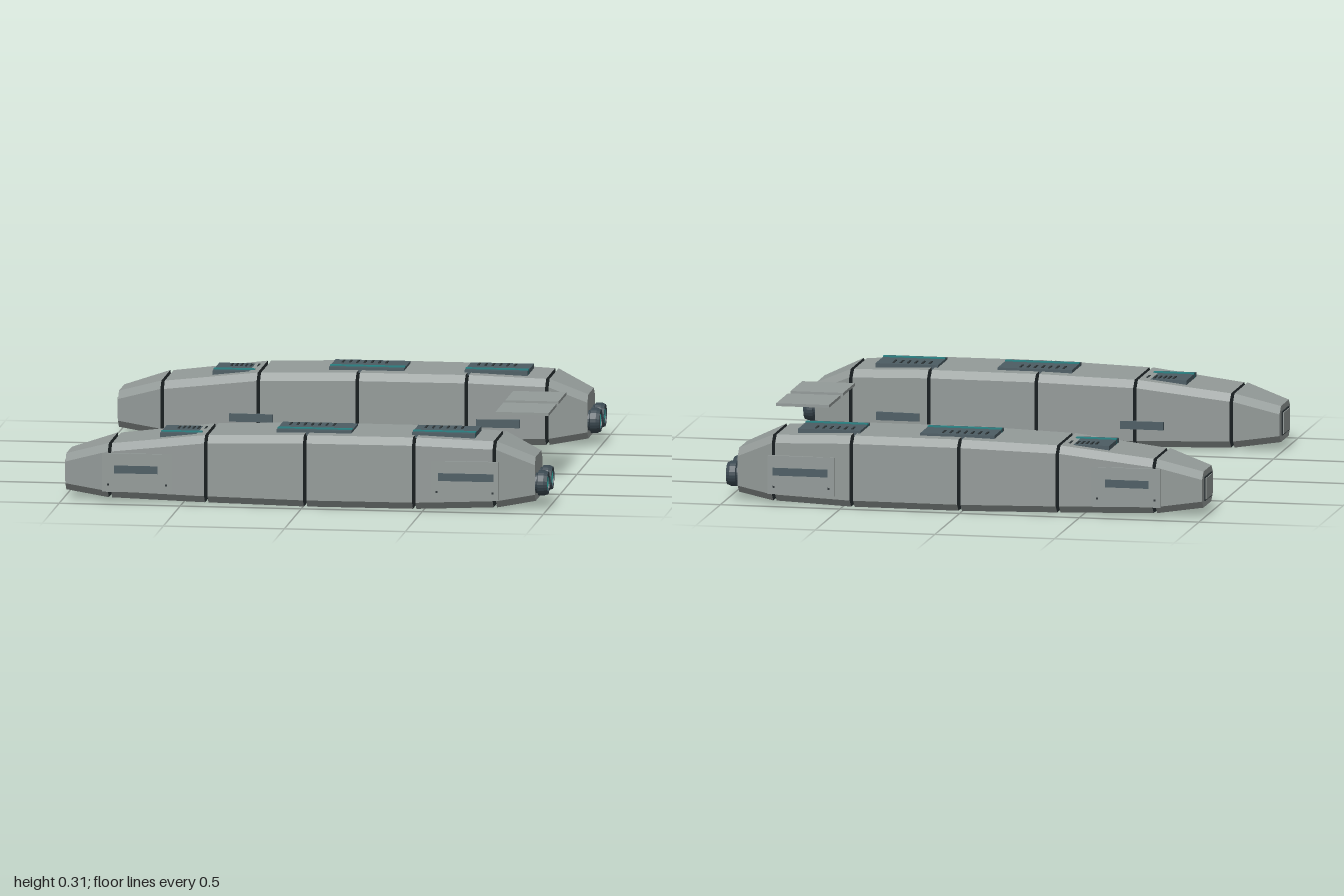
import * as THREE from 'three';

const mat = (name, color, side = THREE.FrontSide) => {
  const m = new THREE.MeshStandardMaterial({ color, side });
  m.name = name;
  return m;
};

export function createModel() {
  const hullGrey = mat('hull grey', 0x939a98);
  const slate = mat('slate panel', 0x4c5c63);
  const dark = mat('dark trim', 0x2b3336);
  const teal = mat('teal strip', 0x267e80);
  const glow = mat('engine teal', 0x3accc4);

  const model = new THREE.Group();
  model.name = 'twinHulls';

  const add = (parent, name, geo, material) => {
    const m = new THREE.Mesh(geo, material);
    m.name = name;
    parent.add(m);
    return m;
  };
  // box given by its min and max along each axis
  const box = (parent, name, material, [x0, x1], [y0, y1], [z0, z1]) => {
    const m = add(parent, name, new THREE.BoxGeometry(x1 - x0, y1 - y0, Math.abs(z1 - z0)), material);
    m.position.set((x0 + x1) / 2, (y0 + y1) / 2, (z0 + z1) / 2);
    return m;
  };

  // hull stations: x, bottom, top, half width
  const stations = [
    [-0.99, 0.035, 0.185, 0.108], [-0.8, 0.015, 0.24, 0.162], [-0.4, 0.006, 0.285, 0.179],
    [0.01, 0, 0.296, 0.19], [0.46, 0, 0.296, 0.185], [0.79, 0.01, 0.284, 0.163], [0.95, 0.032, 0.215, 0.112],
  ];
  const ring = (x, [, y0, y1, w]) => {
    const c = 0.03;
    return [[w - c, y1], [w, y1 - c], [w, y0 + c], [w - c, y0],
      [c - w, y0], [-w, y0 + c], [-w, y1 - c], [c - w, y1]].map(([z, y]) => [x, y, z]);
  };
  // chamfered hull section: skin in group 0, front cap in 1, rear cap in 2
  const sectionGeometry = (i) => {
    const gap = 0.007, last = stations.length - 2;
    const a = ring(stations[i][0] + (i > 0 ? gap : 0), stations[i]);
    const b = ring(stations[i + 1][0] - (i < last ? gap : 0), stations[i + 1]);
    const p = [];
    for (let k = 0; k < 8; k++) {
      const n = (k + 1) % 8;
      p.push(...a[k], ...a[n], ...b[k], ...a[n], ...b[n], ...b[k]);
    }
    for (let k = 1; k < 7; k++) p.push(...a[0], ...a[k + 1], ...a[k]);
    for (let k = 1; k < 7; k++) p.push(...b[0], ...b[k], ...b[k + 1]);
    const g = new THREE.BufferGeometry();
    g.setAttribute('position', new THREE.Float32BufferAttribute(p, 3));
    g.addGroup(0, 48, 0);
    g.addGroup(48, 18, 1);
    g.addGroup(66, 18, 2);
    g.computeVertexNormals();
    return g;
  };

  // s is the sign of z on the outer side
  const makeHull = (name, s) => {
    const hull = new THREE.Group();
    hull.name = name;
    hull.position.z = 0.78 * s;
    model.add(hull);

    const count = stations.length - 1;
    for (let i = 0; i < count; i++) {
      add(hull, 'hullSection', sectionGeometry(i),
        [hullGrey, i === 0 ? hullGrey : dark, i === count - 1 ? hullGrey : dark]);
    }
    // core joining the sections
    box(hull, 'core', dark, [-0.45, 0.8], [0.085, 0.118], [-0.02, 0.02]);

    // nose hatch with a dark rim
    box(hull, 'noseRim', dark, [-0.994, -0.98], [0.06, 0.16], [-0.068, 0.068]);
    box(hull, 'noseHatch', hullGrey, [-0.998, -0.98], [0.066, 0.154], [-0.061, 0.061]);

    // roof panels, each with a teal strip and louvres
    const roof = [
      [-0.6, -0.45, 0.281, -0.43, [-0.54, -0.52, -0.5, -0.48, -0.46, -0.43]],
      [-0.12, 0.19, 0.306, 0.19, [-0.08, -0.05, -0.02, 0.01, 0.04, 0.07, 0.1]],
      [0.44, 0.7, 0.306, 0.7, [0.48, 0.51, 0.54, 0.57, 0.6, 0.63]],
    ];
    for (const [x0, x1, top, stripEnd, slats] of roof) {
      box(hull, 'roofPanel', slate, [x0, x1], [top - 0.022, top], [-0.1, 0.096]);
      box(hull, 'roofStrip', teal, [x0, stripEnd], [top - 0.02, top + 0.004], [0.045, 0.068]);
      for (const x of slats) {
        box(hull, 'louvre', dark, [x - 0.004, x + 0.004], [top - 0.01, top + 0.003], [-0.078, -0.022]);
      }
    }

    // outer side plates with slots and rivets
    for (const [x0, x1, z, sx0, sx1] of [[-0.83, -0.54, 0.177, -0.78, -0.6], [0.53, 0.81, 0.183, 0.56, 0.79]]) {
      box(hull, 'sidePlate', hullGrey, [x0, x1], [0.045, 0.205], [s * (z - 0.012), s * z]);
      box(hull, 'sideSlot', slate, [sx0, sx1], [0.123, 0.155], [s * (z - 0.006), s * (z + 0.003)]);
      for (const x of [x0 + 0.025, x1 - 0.025]) {
        box(hull, 'rivet', dark, [x - 0.004, x + 0.004], [0.072, 0.08], [s * (z - 0.004), s * (z + 0.002)]);
      }
    }
    // inner side slots
    for (const [x0, x1, z] of [[-0.52, -0.34, 0.185], [0.5, 0.68, 0.187]]) {
      box(hull, 'innerSlot', slate, [x0, x1], [0.085, 0.118], [-s * (z - 0.025), -s * z]);
    }

    // twin engines at the stern
    for (const z of [-0.066, 0.066]) {
      const engine = new THREE.Group();
      engine.name = 'engine';
      engine.position.set(0.945, 0.105, z);
      engine.rotation.z = -Math.PI / 2;
      hull.add(engine);
      const profile = [[0.042, 0], [0.042, 0.012], [0.052, 0.016], [0.052, 0.04], [0.046, 0.055], [0.036, 0.055], [0.036, 0.04]]
        .map(([r, y]) => new THREE.Vector2(r, y));
      const nozzle = new THREE.LatheGeometry(profile, 24).toNonIndexed();
      nozzle.computeVertexNormals();
      add(engine, 'nozzle', nozzle, slateNozzle);
      add(engine, 'engineGlow', new THREE.CylinderGeometry(0.037, 0.037, 0.02, 24), glow).position.y = 0.04;
    }
  };
  const slateNozzle = mat('nozzle grey', 0x3a4850, THREE.DoubleSide);

  makeHull('leftHull', 1);
  makeHull('rightHull', -1);

  // pair of floating plates between the hulls
  for (const s of [-1, 1]) {
    box(model, 'deckPlate', hullGrey, [0.7, 0.92], [0.284, 0.296], [s * 0.027, s * 0.262]);
  }
  return model;
}
